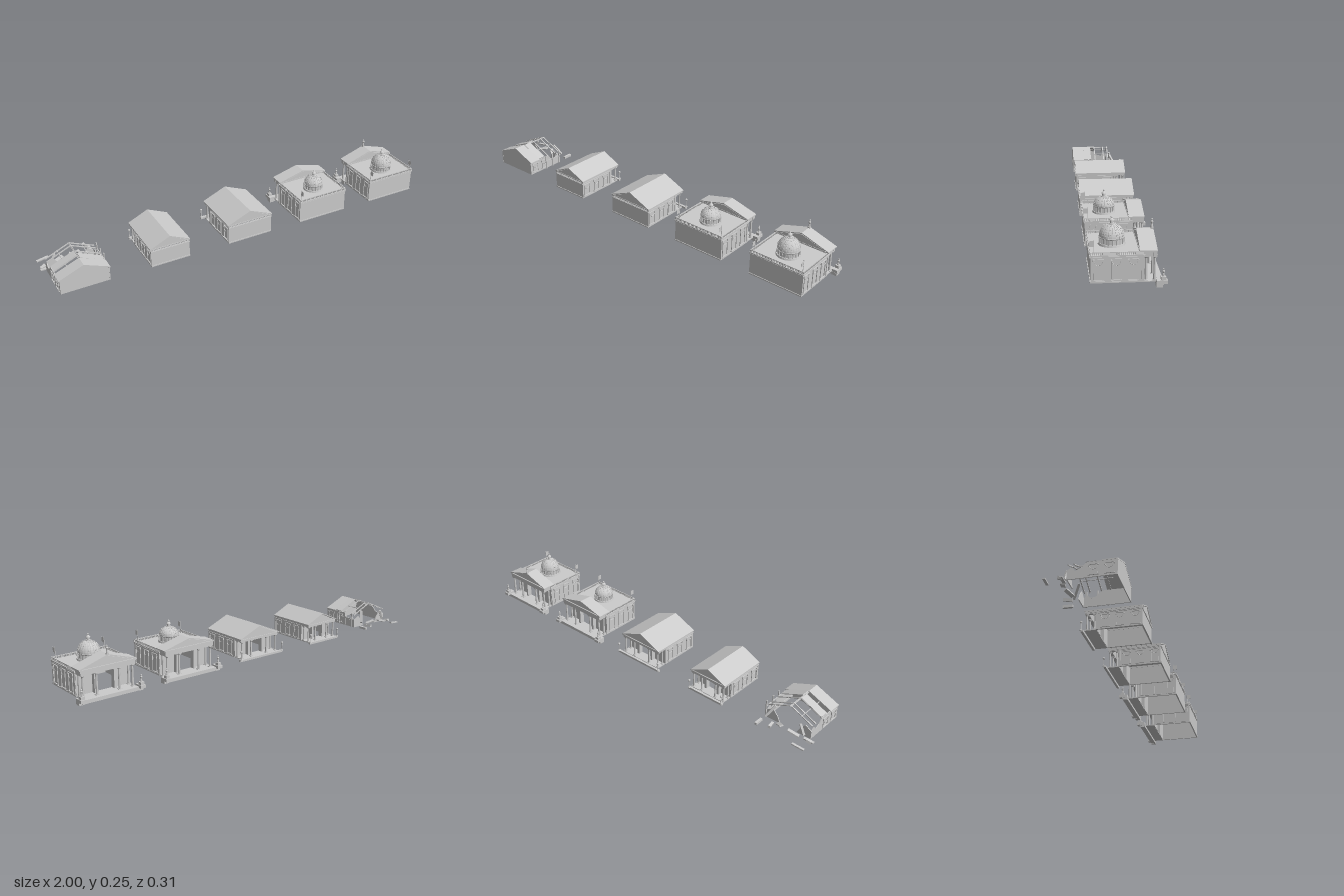
import * as THREE from 'three';

const mat = new THREE.MeshStandardMaterial({ color: 0xcccccc, flatShading: true, side: THREE.DoubleSide });
const FLOOR = 0.015, Z0 = -0.06, Z1 = 0.148; // ground level, hall entrance wall and rear wall

function add(parent, name, geo, x = 0, y = 0, z = 0) {
  const m = new THREE.Mesh(geo, mat);
  m.name = name;
  m.position.set(x, y, z);
  parent.add(m);
  return m;
}
// Box standing on y
const box = (p, name, w, h, d, x, y, z) => add(p, name, new THREE.BoxGeometry(w, h, d), x, y + h / 2, z);
// Cylinder standing on y
const cyl = (p, name, r0, r1, h, x, y, z, n = 10) => add(p, name, new THREE.CylinderGeometry(r1, r0, h, n), x, y + h / 2, z);
const lathe = (p, name, pts, n, x, y, z) =>
  add(p, name, new THREE.LatheGeometry(pts.map(a => new THREE.Vector2(...a)), n), x, y, z);

function group(parent, name, x = 0, y = 0, z = 0) {
  const g = new THREE.Group();
  g.name = name;
  g.position.set(x, y, z);
  parent.add(g);
  return g;
}

function extrude(points, depth) {
  return new THREE.ExtrudeGeometry(new THREE.Shape(points.map(a => new THREE.Vector2(...a))), { depth, bevelEnabled: false });
}

// Pair of sloping slabs meeting at a ridge along z
function roofSlabs(p, hw, y, rise, za, zb, t = 0.005) {
  const geo = extrude([[-hw, y], [0, y + rise], [hw, y], [hw, y - t], [0, y + rise - t], [-hw, y - t]], zb - za);
  add(p, 'gableRoof', geo, 0, 0, za);
}
const tympanum = (p, hw, y, rise, z) => add(p, 'tympanum', extrude([[-hw, y], [0, y + rise], [hw, y]], 0.005), 0, 0, z);

// Tall framed window with an arched head, on the side wall
function sideWindow(p, side, x, z, top) {
  const g = group(p, 'sideWindow', x, 0, z), y0 = 0.027, h = top - 0.015 - y0;
  box(g, 'sill', 0.007, 0.004, 0.044, 0, y0 - 0.004, 0);
  for (const s of [-1, 1]) {
    box(g, 'jamb', 0.004, h, 0.003, 0, y0, s * 0.017);
    box(g, 'bracket', 0.007, 0.006, 0.006, 0, y0 + h - 0.006, s * 0.019);
  }
  box(g, 'lintel', 0.006, 0.004, 0.042, 0, y0 + h, 0);
  const arc = add(g, 'swag', new THREE.TorusGeometry(0.016, 0.0012, 4, 10, Math.PI), side * 0.001, y0 + h - 0.006, 0);
  arc.rotation.set(Math.PI, Math.PI / 2, 0);
}

// Open-bottomed hall with a wide doorway facing -z
function hall(p, hw, top) {
  const g = group(p, 'hall'), h = top - FLOOR, d = Z1 - Z0, zc = (Z0 + Z1) / 2, t = 0.004, door = hw * 0.32;
  box(g, 'rearWall', hw * 2, h, t, 0, FLOOR, Z1 - t / 2);
  for (const s of [-1, 1]) {
    box(g, 'sideWall', t, h, d, s * (hw - t / 2), FLOOR, zc);
    box(g, 'plinth', 0.006, 0.006, d + 0.004, s * hw, FLOOR, zc);
    box(g, 'cornice', 0.007, 0.004, d + 0.006, s * hw, top - 0.006, zc);
    for (const z of [Z0 + 0.004, Z1 - 0.004]) box(g, 'cornerPilaster', 0.006, h, 0.008, s * hw, FLOOR, z);
    for (const z of [0.117, 0.047, -0.02]) sideWindow(g, s, s * (hw + 0.0015), z, top);
    box(g, 'entranceWall', hw - door, h, t, s * (hw + door) / 2, FLOOR, Z0);
    box(g, 'doorPier', 0.012, h * 0.85, 0.02, s * (door + 0.006), FLOOR, Z0 - 0.012);
  }
  box(g, 'doorHead', door * 2, h * 0.2, t, 0, top - h * 0.2, Z0);
  box(g, 'rearPlinth', hw * 2 + 0.006, 0.006, 0.004, 0, FLOOR, Z1 + 0.001);
  box(g, 'rearCornice', hw * 2 + 0.006, 0.004, 0.005, 0, top - 0.006, Z1 + 0.001);
}

function column(p, x, z, top, r) {
  const g = group(p, 'column', x, 0, z);
  box(g, 'columnBase', r * 3, 0.006, r * 3, 0, FLOOR, 0);
  cyl(g, 'shaft', r, r * 0.82, top - FLOOR - 0.013, 0, FLOOR + 0.006, 0, 12);
  cyl(g, 'capital', r * 0.9, r * 1.4, 0.005, 0, top - 0.009, 0, 12);
  box(g, 'abacus', r * 3, 0.004, r * 3, 0, top - 0.004, 0);
}

function portico(p, hw, top, r, entablature) {
  const g = group(p, 'portico');
  for (const k of [-0.92, -0.42, 0.42, 0.92]) column(g, k * hw, -0.104, top, r);
  for (const s of [-1, 1]) {
    column(g, s * 0.92 * hw, -0.07, top, r);
    box(g, 'sideBeam', r * 3, entablature, 0.052, s * hw * 0.94, top, -0.086);
  }
  box(g, 'frontBeam', hw * 2 + 0.004, entablature, 0.016, 0, top, -0.104);
  box(g, 'porchFloor', hw * 2, 0.004, 0.055, 0, FLOOR - 0.001, -0.087);
}

function lamp(p, x) {
  const g = group(p, 'lamp', x, 0, -0.13);
  cyl(g, 'lampFoot', 0.006, 0.004, 0.006, 0, 0.018, 0, 8);
  cyl(g, 'lampPost', 0.0018, 0.0018, 0.034, 0, 0.022, 0, 6);
  add(g, 'lampGlobe', new THREE.SphereGeometry(0.006, 8, 6), 0, 0.059, 0);
}

function statue(p, x, y, z, h = 0.035) {
  const g = group(p, 'statue', x, y, z);
  g.scale.setScalar(h / 0.035);
  lathe(g, 'statueBody', [[0.005, 0], [0.0045, 0.006], [0.003, 0.014], [0.0055, 0.022], [0.002, 0.027], [0, 0.0275]], 8, 0, 0, 0);
  add(g, 'statueHead', new THREE.SphereGeometry(0.0035, 8, 6), 0, 0.0305, 0);
}

// Low strip in front of the portico with end markers
function forecourt(p, hw, grand) {
  const g = group(p, 'forecourt');
  box(g, 'step', hw * 2, 0.01, grand ? 0.024 : 0.012, 0, 0.01, -0.125);
  if (grand) box(g, 'lowerStep', hw * 2 - 0.03, 0.012, 0.026, 0, 0.002, -0.121);
  for (const s of [-1, 1]) {
    const x = s * (hw - 0.013);
    if (!grand) { lamp(g, x + s * 0.008); continue; }
    box(g, 'cheekFoot', 0.024, 0.014, 0.026, x, 0, -0.12);
    box(g, 'cheekBlock', 0.026, 0.014, 0.044, x, 0.014, -0.13);
    box(g, 'pedestal', 0.018, 0.013, 0.02, x, 0.028, -0.136);
    statue(g, x, 0.041, -0.136);
  }
}

function dome(p, r, y, h) {
  const g = group(p, 'dome', 0, y, 0.055), n = 20, drum = 0.032;
  cyl(g, 'drumFoot', r + 0.005, r + 0.003, 0.008, 0, 0, 0, 24);
  add(g, 'drum', new THREE.CylinderGeometry(r - 0.002, r - 0.002, drum, 24, 1, true), 0, drum / 2, 0);
  cyl(g, 'drumCornice', r + 0.001, r + 0.003, 0.004, 0, drum - 0.003, 0, 24);
  const prof = t => [Math.cos(t) * r, drum + Math.sin(t) * h];
  lathe(g, 'shell', Array.from({ length: 9 }, (_, i) => prof(i / 8 * 1.5)), 24, 0, 0, 0);
  for (let i = 0; i < n; i++) {
    const a = i / n * Math.PI * 2, c = Math.cos(a), s = Math.sin(a);
    cyl(g, 'drumPilaster', 0.0025, 0.0025, drum - 0.01, c * r, 0.008, s * r, 6);
    const rib = [0, 0.4, 0.8, 1.15, 1.45].map(t => { const [q, v] = prof(t); return new THREE.Vector3(c * q, v, s * q); });
    add(g, 'rib', new THREE.TubeGeometry(new THREE.CatmullRomCurve3(rib), 8, 0.0012, 4));
    if (i % 2) continue;
    for (const t of [0.35, 0.75, 1.1]) { // round vents between the ribs
      const [q, v] = prof(t), b = a + Math.PI / n;
      add(g, 'vent', new THREE.SphereGeometry(0.0028, 6, 4), Math.cos(b) * q, v, Math.sin(b) * q);
    }
  }
  lathe(g, 'lantern', [[0.012, -0.003], [0.012, 0.002], [0.007, 0.003], [0.007, 0.013], [0.011, 0.014], [0.009, 0.018],
    [0.004, 0.022], [0.002, 0.024], [0.0045, 0.027], [0.003, 0.031], [0, 0.032]], 12, 0, drum + h, 0);
}

// Domed building: flat roof with balustrade, gabled portico and flags
function domedHall(root, x, hw, gableRise, domeR, domeH, crowned) {
  const g = group(root, 'domedHall', x), top = 0.125, zc = (Z0 + Z1) / 2;
  hall(g, hw, top);
  box(g, 'flatRoof', hw * 2 + 0.01, 0.005, Z1 - Z0 + 0.01, 0, top, zc);
  const rails = [[0, Z1, hw * 2 + 0.004, 0.004], [-hw, zc, 0.004, Z1 - Z0], [hw, zc, 0.004, Z1 - Z0]];
  for (const [rx, rz, w, d] of rails) {
    box(g, 'balustradeRail', w, 0.003, d, rx, 0.139, rz);
    const len = Math.max(w, d), n = Math.round(len / 0.008);
    for (let i = 0; i <= n; i++) {
      const k = (i / n - 0.5) * len;
      box(g, 'baluster', 0.004, 0.009, 0.004, rx + (w > d ? k : 0), 0.13, rz + (w > d ? 0 : k));
    }
  }
  portico(g, hw, 0.12, 0.0055, 0.022);
  box(g, 'porchCeiling', hw * 2, 0.004, 0.07, 0, 0.139, -0.078);
  tympanum(g, hw, 0.143, gableRise - 0.004, -0.108);
  tympanum(g, hw, 0.143, gableRise - 0.004, -0.05);
  roofSlabs(g, hw + 0.008, 0.147, gableRise, -0.113, -0.044);
  box(g, 'gableCornice', hw * 2 + 0.014, 0.004, 0.07, 0, 0.141, -0.0785);
  dome(g, domeR, 0.13, domeH);
  for (const s of [-1, 1]) {
    cyl(g, 'flagPole', 0.0015, 0.0015, 0.06, s * (hw - 0.01), 0.13, 0.134, 6);
    box(g, 'flag', 0.001, 0.023, 0.019, s * (hw - 0.01), 0.162, 0.144);
  }
  if (crowned) {
    box(g, 'apexBlock', 0.012, 0.008, 0.012, 0, 0.143 + gableRise, -0.107);
    statue(g, 0, 0.151 + gableRise, -0.107, 0.038);
  }
  forecourt(g, hw + 0.027, true);
}

// Plain building under one long gable roof
function gabledHall(root, x, hw, top, ridge, courtHw) {
  const g = group(root, 'gabledHall', x);
  hall(g, hw - 0.004, top);
  portico(g, hw - 0.004, top - 0.004, 0.0045, 0.012);
  box(g, 'eaveCornice', hw * 2, 0.005, 0.008, 0, top + 0.005, Z1 - 0.003);
  for (const s of [-1, 1]) box(g, 'eaveBeam', 0.008, 0.008, Z1 + 0.11, s * (hw - 0.005), top, (Z1 - 0.11) / 2);
  for (const z of [-0.108, Z1 - 0.006]) tympanum(g, hw - 0.004, top + 0.006, ridge - top - 0.012, z);
  roofSlabs(g, hw + 0.002, top + 0.012, ridge - top - 0.012, -0.116, Z1 + 0.002);
  forecourt(g, courtHw, false);
}

// Collapsed building: broken walls, bare roof timbers and rubble
function ruin(root, x, hw) {
  const g = group(root, 'ruin', x), top = 0.085, ridge = 0.137, slope = Math.atan2(ridge - top, hw);
  const broken = [[Z0, FLOOR], [Z0, 0.055], [-0.04, 0.07], [-0.025, 0.05], [0, 0.062], [0.02, 0.085], [Z1, top], [Z1, FLOOR]];
  for (const s of [-1, 1]) {
    const geo = extrude(broken, 0.004);
    geo.rotateY(-Math.PI / 2);
    add(g, 'brokenSideWall', geo, s * (hw - 0.002) + 0.002, 0, 0);
    add(g, 'brokenEntranceWall', extrude([[s * hw, FLOOR], [s * hw, 0.055], [s * 0.085, 0.075], [s * 0.06, 0.045], [s * 0.045, FLOOR]], 0.004), 0, 0, Z0);
    for (const z of [0.115, 0.05]) sideWindow(g, s, s * (hw + 0.001), z, top);
    for (const f of [0.02, 0.5]) // timbers running front to back
      box(g, 'purlin', 0.003, 0.003, 0.145, s * hw * f, ridge - 0.005 - f * (ridge - top), 0.012);
    for (const z of [-0.055, -0.03, 0.02, 0.06]) {
      const r = box(g, 'rafter', Math.hypot(hw, ridge - top), 0.004, 0.005, s * hw / 2, (top + ridge) / 2 - 0.005, z);
      r.rotation.z = -s * slope;
    }
    const zz = s < 0 ? 0.04 : 0.065; // surviving roof patch
    const patch = box(g, 'roofPatch', 0.12, 0.004, 0.042, s * hw / 2, (top + ridge) / 2 - 0.002, zz);
    patch.rotation.z = -s * slope;
  }
  box(g, 'rearWall', hw * 2, top - FLOOR, 0.004, 0, FLOOR, Z1 - 0.003);
  tympanum(g, hw, top, ridge - top - 0.005, Z1 - 0.006);
  roofSlabs(g, hw + 0.004, top + 0.002, ridge - top - 0.002, 0.085, Z1);
  // Rubble: x, y, z, width, height, depth, tilt
  const rubble = [[-0.11, 0.02, -0.148, 0.06, 0.006, 0.012, 0.1], [-0.125, 0.016, -0.085, 0.025, 0.012, 0.016, 0.3],
    [-0.05, 0.03, -0.095, 0.055, 0.006, 0.02, 0.25], [0.025, 0.035, -0.092, 0.045, 0.006, 0.018, -0.5],
    [0.06, 0.02, -0.108, 0.012, 0.012, 0.04, 0.2], [0.115, 0.02, -0.125, 0.012, 0.012, 0.045, 0],
    [0.085, 0.04, -0.08, 0.01, 0.07, 0.01, 0.5], [-0.08, 0.03, -0.075, 0.01, 0.055, 0.01, -0.5]];
  for (const [rx, y, z, w, h, d, a] of rubble) box(g, 'rubble', w, h, d, rx, y, z).rotation.set(a * 0.5, a, a);
  for (const z of [-0.05, 0, 0.045]) box(g, 'sideProp', 0.005, 0.075, 0.006, hw + 0.011, 0.02, z);
  box(g, 'propRail', 0.004, 0.005, 0.1, hw + 0.011, 0.06, 0);
  box(g, 'fallenStep', 0.05, 0.006, 0.014, -0.118, 0.014, -0.075);
}

export function createModel() {
  const root = new THREE.Group();
  root.name = 'hallStages';
  ruin(root, -0.857, 0.118);
  gabledHall(root, -0.437, 0.1, 0.1, 0.158, 0.101);
  gabledHall(root, -0.01, 0.12, 0.105, 0.168, 0.136);
  domedHall(root, 0.413, 0.132, 0.036, 0.047, 0.04, false);
  domedHall(root, 0.84, 0.133, 0.044, 0.051, 0.053, true);
  return root;
}
